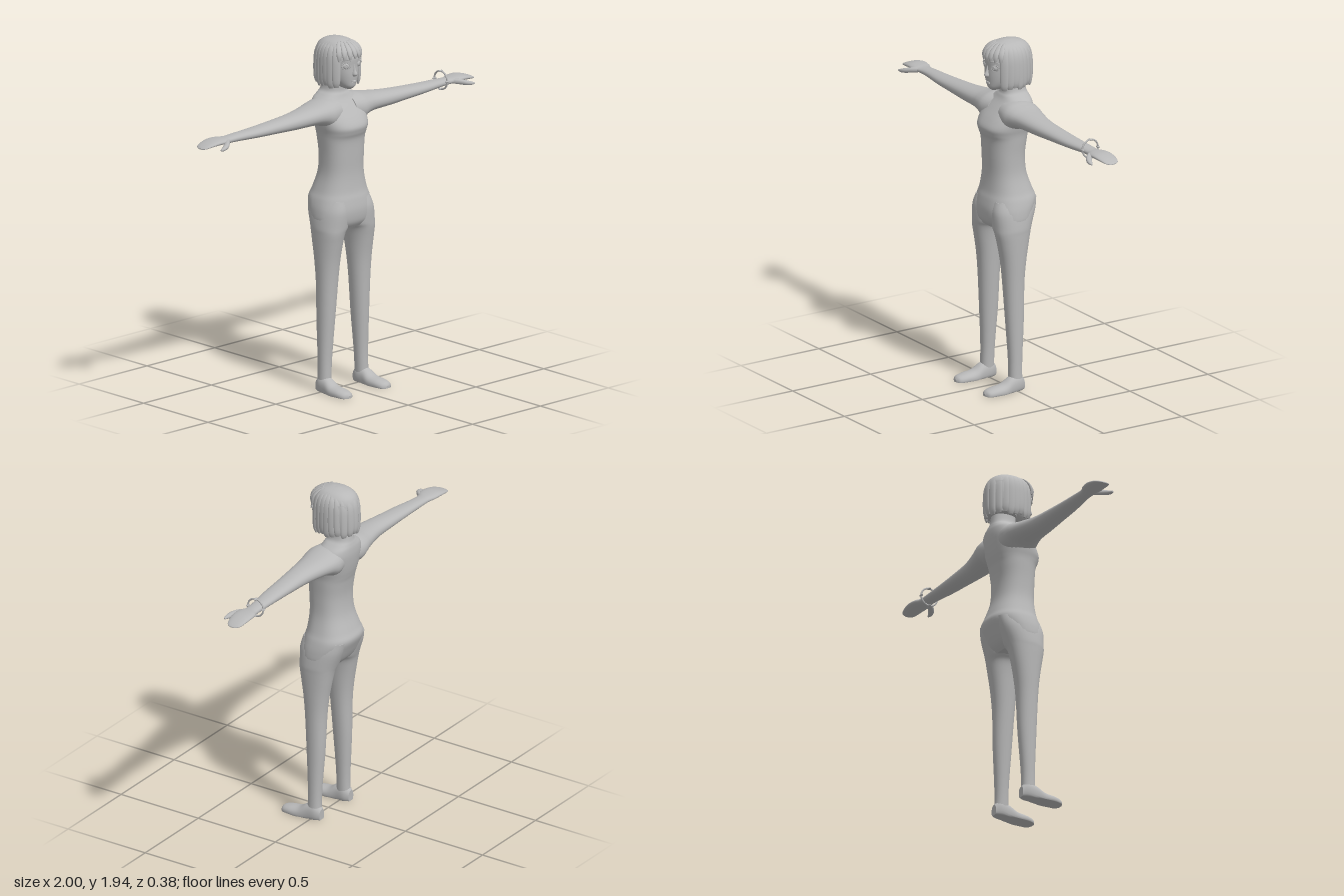
import * as THREE from 'three';

const mat = new THREE.MeshStandardMaterial({ color: 0xb8b8b8 });
mat.name = 'clay grey';

const cubic = (a, b, c, d, u) =>
  0.5 * (2 * b + (c - a) * u + (2 * a - 5 * b + 4 * c - d) * u * u + (3 * b - a - 3 * c + d) * u * u * u);
const spow = (v, e) => Math.sign(v) * Math.pow(Math.abs(v), e);

// Smooth skin through stations [t, a0, a1, b0, b1]; never goes below the floor.
// axis y: a = x, b = z;  axis x: a = z, b = y;  axis z: a = y, b = x
function loft(axis, st, { n = 28, sub = 5, power = 2.2 } = {}) {
  const place = {
    y: (t, a, b) => [a, t, b],
    x: (t, a, b) => [t, b, a],
    z: (t, a, b) => [b, a, t],
  }[axis];
  const pos = [], idx = [], rows = [];
  const at = i => st[Math.max(0, Math.min(st.length - 1, i))];
  for (let i = 0; i < st.length - 1; i++)
    for (let s = 0; s < sub; s++)
      rows.push(st[0].map((_, k) => cubic(at(i - 1)[k], at(i)[k], at(i + 1)[k], at(i + 2)[k], s / sub)));
  rows.push(st[st.length - 1]);
  const put = (t, a, b) => {
    const p = place(t, a, b);
    pos.push(p[0], Math.max(0, p[1]), p[2]);
  };
  const ring = ([t, a0, a1, b0, b1]) => {
    for (let j = 0; j < n; j++) {
      const w = j / n * Math.PI * 2;
      put(t, (a0 + a1) / 2 + (a1 - a0) / 2 * spow(Math.cos(w), 2 / power),
        (b0 + b1) / 2 + (b1 - b0) / 2 * spow(Math.sin(w), 2 / power));
    }
  };
  rows.forEach(ring);
  for (let i = 0; i < rows.length - 1; i++)
    for (let j = 0; j < n; j++) {
      const p = i * n + j, q = i * n + (j + 1) % n;
      idx.push(p, p + n, q, q, p + n, q + n);
    }
  // end caps with their own corners
  [rows[0], rows[rows.length - 1]].forEach((r, e) => {
    const base = pos.length / 3;
    ring(r);
    put(r[0], (r[1] + r[2]) / 2, (r[3] + r[4]) / 2);
    for (let j = 0; j < n; j++) {
      const p = base + j, q = base + (j + 1) % n;
      idx.push(base + n, e ? q : p, e ? p : q);
    }
  });
  const g = new THREE.BufferGeometry();
  g.setAttribute('position', new THREE.Float32BufferAttribute(pos, 3));
  g.setIndex(idx);
  g.computeVertexNormals();
  return g;
}

function mirrored(geo) {
  const g = geo.clone().scale(-1, 1, 1), ix = g.index.array;
  for (let i = 0; i < ix.length; i += 3) [ix[i], ix[i + 1]] = [ix[i + 1], ix[i]];
  g.computeVertexNormals();
  return g;
}

export function createModel() {
  const model = new THREE.Group();
  model.name = 'standing woman';
  const add = (name, geo, parent = model) => {
    const m = new THREE.Mesh(geo, mat);
    m.name = name;
    parent.add(m);
    return m;
  };
  const pair = (name, geo) => {
    add('left ' + name, geo);
    add('right ' + name, mirrored(geo));
  };

  // Torso from crotch to neck
  add('torso', loft('y', [
    [0.905, -0.13, 0.13, -0.095, 0.08], [0.94, -0.178, 0.178, -0.125, 0.102], [1.0, -0.18, 0.18, -0.155, 0.11],
    [1.06, -0.167, 0.167, -0.177, 0.102], [1.11, -0.148, 0.148, -0.16, 0.09], [1.2, -0.126, 0.126, -0.13, 0.082],
    [1.3, -0.124, 0.124, -0.122, 0.085], [1.39, -0.13, 0.13, -0.133, 0.09], [1.43, -0.134, 0.134, -0.143, 0.104],
    [1.465, -0.142, 0.142, -0.152, 0.11], [1.51, -0.15, 0.15, -0.16, 0.085], [1.56, -0.148, 0.148, -0.165, 0.045],
    [1.6, -0.125, 0.125, -0.163, 0.012], [1.625, -0.088, 0.088, -0.157, -0.002], [1.65, -0.06, 0.06, -0.15, -0.012],
    [1.72, -0.052, 0.052, -0.14, -0.01],
  ], { n: 40, power: 2.4 }));

  // Legs and feet
  pair('leg', loft('y', [
    [0.02, 0.103, 0.172, -0.046, 0.034], [0.1, 0.1, 0.17, -0.043, 0.032], [0.2, 0.094, 0.17, -0.046, 0.033],
    [0.4, 0.078, 0.172, -0.058, 0.044], [0.6, 0.062, 0.176, -0.063, 0.055], [0.72, 0.052, 0.181, -0.075, 0.066],
    [0.82, 0.042, 0.185, -0.093, 0.083], [0.88, 0.03, 0.187, -0.106, 0.095], [0.92, 0.005, 0.187, -0.12, 0.1],
    [1.0, 0.002, 0.176, -0.15, 0.104], [1.06, 0.01, 0.155, -0.165, 0.09],
  ]));
  pair('foot', loft('z', [
    [-0.052, -0.01, 0.06, 0.115, 0.16], [-0.02, -0.02, 0.09, 0.1, 0.175], [0.03, -0.03, 0.08, 0.1, 0.18],
    [0.08, -0.03, 0.05, 0.095, 0.187], [0.14, -0.02, 0.04, 0.096, 0.188], [0.18, -0.02, 0.03, 0.107, 0.177],
    [0.195, -0.01, 0.015, 0.13, 0.15],
  ]));

  // Arms run from inside the chest to the wrist and flat hand
  pair('arm', loft('x', [
    [0.05, -0.15, 0.05, 1.46, 1.61], [0.11, -0.16, 0.06, 1.455, 1.612], [0.16, -0.153, 0.052, 1.477, 1.602],
    [0.22, -0.135, 0.04, 1.487, 1.59], [0.34, -0.108, 0.028, 1.49, 1.576], [0.48, -0.1, 0.015, 1.495, 1.564],
    [0.62, -0.096, 0.003, 1.5, 1.554], [0.74, -0.094, -0.015, 1.504, 1.547], [0.81, -0.095, -0.018, 1.507, 1.543],
    [0.85, -0.109, -0.004, 1.511, 1.546], [0.9, -0.115, -0.004, 1.513, 1.546], [0.95, -0.111, -0.012, 1.51, 1.535],
    [0.985, -0.1, -0.025, 1.506, 1.521], [1.0, -0.075, -0.045, 1.507, 1.512],
  ]));
  pair('thumb', loft('x', [
    [0.82, -0.05, -0.02, 1.513, 1.538], [0.85, -0.03, 0.012, 1.508, 1.538], [0.88, -0.004, 0.034, 1.502, 1.53],
    [0.91, 0.014, 0.041, 1.499, 1.52], [0.933, 0.027, 0.036, 1.502, 1.51],
  ], { n: 16 }));

  // Bracelet with beads on the left wrist
  const bracelet = new THREE.Group();
  bracelet.name = 'bracelet';
  bracelet.position.set(0.775, 1.535, -0.062);
  model.add(bracelet);
  add('bracelet band', new THREE.TorusGeometry(0.05, 0.005, 8, 40).rotateY(Math.PI / 2), bracelet);
  for (let i = 0; i < 4; i++) {
    const w = i * Math.PI / 2;
    add('bracelet bead', new THREE.SphereGeometry(0.008, 12, 8).scale(1.9, 0.7, 1), bracelet)
      .position.set(0, 0.05 * Math.cos(w), 0.05 * Math.sin(w));
  }

  // Head and face
  add('head', loft('y', [
    [1.668, -0.018, 0.018, 0.0, 0.058], [1.685, -0.043, 0.043, -0.05, 0.075], [1.715, -0.066, 0.066, -0.1, 0.08],
    [1.755, -0.08, 0.08, -0.13, 0.083], [1.8, -0.088, 0.088, -0.145, 0.082], [1.85, -0.09, 0.09, -0.15, 0.082],
    [1.89, -0.075, 0.075, -0.13, 0.06], [1.915, -0.04, 0.04, -0.09, 0.01],
  ], { n: 36 }));
  add('nose', loft('y', [
    [1.742, -0.006, 0.006, 0.07, 0.086], [1.755, -0.014, 0.014, 0.06, 0.102],
    [1.78, -0.008, 0.008, 0.06, 0.092], [1.81, -0.004, 0.004, 0.06, 0.083],
  ], { n: 16 }));
  for (const [y, r] of [[1.716, 0.004], [1.71, 0.005]])
    add('lip', new THREE.SphereGeometry(1, 16, 8).scale(0.02, r, 0.006)).position.set(0, y, 0.079);

  // Eyes with rims, lashes and brows
  for (const s of [-1, 1]) {
    const eye = new THREE.Group();
    eye.name = s > 0 ? 'left eye' : 'right eye';
    eye.position.set(s * 0.047, 1.803, 0.068);
    eye.rotation.y = s * 0.45;
    model.add(eye);
    add('eye rim', new THREE.TorusGeometry(0.02, 0.0025, 6, 28).scale(1.1, 0.9, 1), eye);
    add('eyeball', new THREE.SphereGeometry(0.018, 20, 12).scale(1, 0.85, 0.4), eye);
    add('iris', new THREE.TorusGeometry(0.008, 0.002, 6, 20), eye).position.z = 0.006;
    for (let i = 0; i < 4; i++) {
      const w = Math.PI / 2 - s * (0.3 + i * 0.36);
      const lash = add('eyelash', new THREE.ConeGeometry(0.003, 0.018, 6), eye);
      lash.position.set(0.028 * Math.cos(w), 0.025 * Math.sin(w), 0.006);
      lash.rotation.z = w - Math.PI / 2;
    }
    const brow = new THREE.QuadraticBezierCurve3(
      new THREE.Vector3(-0.024, 0.03, 0), new THREE.Vector3(0, 0.042, 0.008), new THREE.Vector3(0.024, 0.03, 0));
    add('eyebrow', new THREE.TubeGeometry(brow, 10, 0.003, 6), eye);
  }

  // Bobbed hair: crown, solid back and overlapping locks
  const hair = new THREE.Group();
  hair.name = 'hair';
  hair.position.z = -0.048;
  model.add(hair);
  add('hair crown', loft('y', [
    [1.85, -0.101, 0.101, -0.132, 0.125], [1.88, -0.096, 0.096, -0.124, 0.122], [1.905, -0.083, 0.083, -0.108, 0.106],
    [1.925, -0.058, 0.058, -0.077, 0.075], [1.936, -0.02, 0.02, -0.03, 0.03], [1.937, -0.002, 0.002, -0.003, 0.003],
  ], { n: 36 }), hair);
  add('hair back', loft('y', [
    [1.69, -0.09, 0.09, -0.12, 0.03], [1.75, -0.1, 0.1, -0.128, 0.04],
    [1.82, -0.101, 0.101, -0.13, 0.05], [1.87, -0.096, 0.096, -0.124, 0.06],
  ], { n: 36 }), hair);
  const radius = f => 1 / Math.hypot(Math.sin(f) / 0.112, Math.cos(f) / 0.138);
  // each lock: [height, share of head radius, half width, half thickness]
  const lock = (name, f, profile) => {
    const R = radius(f);
    const g = loft('y', profile.map(([y, k, w, d]) => [y, -w, w, R * k - d, R * k + d]), { n: 14, sub: 4 });
    add(name, g.rotateY(f), hair);
  };
  const count = 17;
  for (let i = 0; i < count; i++) {
    const low = 1.676 + (i % 3) * 0.006;
    lock('hair lock', THREE.MathUtils.degToRad(47 + i * 266 / (count - 1)), [
      [low, 0.89, 0.012, 0.005], [low + 0.03, 0.93, 0.021, 0.01], [1.78, 0.94, 0.024, 0.011],
      [1.85, 0.9, 0.023, 0.011], [1.895, 0.76, 0.018, 0.01], [1.922, 0.52, 0.008, 0.006],
    ]);
  }
  for (let i = -3; i <= 3; i++)
    lock('fringe lock', i * 0.23, [
      [1.842 - Math.abs(i) * 0.004, 1.0, 0.004, 0.004], [1.862, 0.99, 0.013, 0.008],
      [1.89, 0.9, 0.015, 0.009], [1.915, 0.7, 0.011, 0.008], [1.928, 0.5, 0.005, 0.005],
    ]);

  return model;
}
